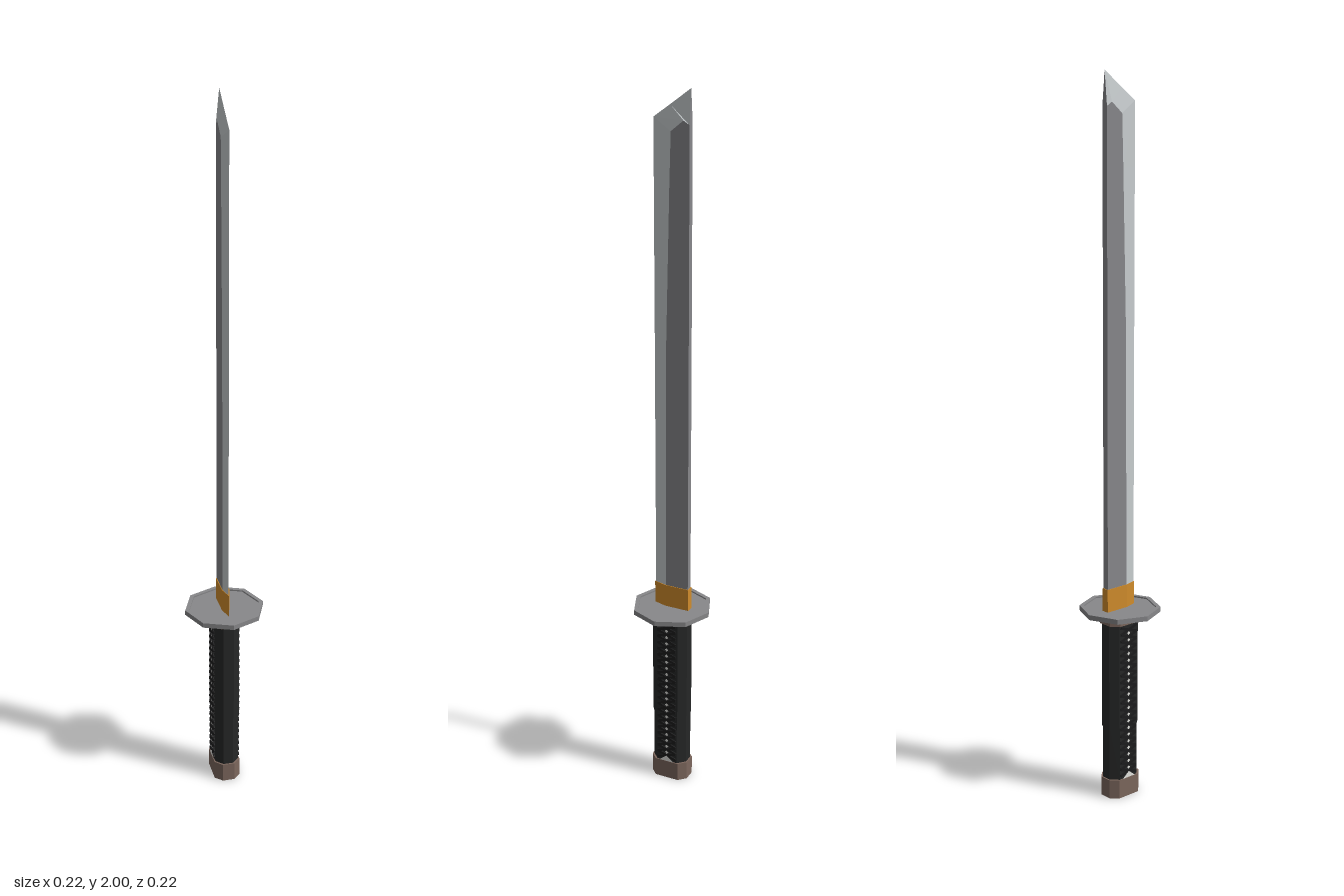
import * as THREE from 'three';

const mat = (name, color) => Object.assign(new THREE.MeshStandardMaterial({ color }), { name });

// Upright prism from [x, z] corners
function prism(corners, y0, y1) {
  const shape = new THREE.Shape(corners.map(([x, z]) => new THREE.Vector2(x, -z)));
  const g = new THREE.ExtrudeGeometry(shape, { depth: y1 - y0, bevelEnabled: false });
  return g.rotateX(-Math.PI / 2).translate(0, y0, 0);
}

// Elongated octagon with half sizes a (x), b (z) and corner cut c
const octagon = (a, b, c) => [
  [a, b - c], [a - c, b], [c - a, b], [-a, b - c],
  [-a, c - b], [c - a, -b], [a - c, -b], [a, c - b],
];

// Flat-shaded faces, each a convex loop of [x, y, z], split as a fan
function faces(loops) {
  const p = [];
  for (const l of loops)
    for (let i = 1; i < l.length - 1; i++) p.push(...l[0], ...l[i], ...l[i + 1]);
  const g = new THREE.BufferGeometry();
  g.setAttribute('position', new THREE.Float32BufferAttribute(p, 3));
  g.computeVertexNormals();
  return g;
}

export function createModel() {
  const root = new THREE.Group();
  root.name = 'sword';
  const steel = mat('steel', 0x88888c);
  const edgeSteel = mat('polished edge', 0xc8cdcf);
  const gold = mat('gold collar', 0xd08c2c);
  const guardGrey = mat('guard grey', 0x88888a);
  const bronze = mat('brown fittings', 0x7c675d);
  const black = mat('black grip', 0x262727);
  const cord = mat('black cord', 0x1c1c1d);
  const pale = mat('pale inlay', 0xe4e4e0);

  const add = (name, geo, material, parent = root) => {
    const m = new THREE.Mesh(geo, material);
    m.name = name;
    parent.add(m);
    return m;
  };

  // Blade: [z, y] lines for the bevel ridge and the cutting edge
  const w = 0.0088, back = -0.052, base = 0.55;
  const ridge = [[0.016, base], [0.014, 1.3], [0.004, 1.75], [0, 1.89], [-0.035, 1.92], [back, 1.91]];
  const edge = [[0.05, base], [0.051, 1.3], [0.052, 1.75], [0.052, 1.92], [0.006, 1.955], [back, 2]];
  const flats = [], bevels = [];
  for (const s of [-1, 1]) {
    const turn = (loop) => (s > 0 ? loop.reverse() : loop);
    const at = (x, [z, y]) => [x * s, y, z];
    const b = at(w, [back, base]);
    for (let i = 0; i < ridge.length - 1; i++) {
      flats.push(turn([b, at(w, ridge[i]), at(w, ridge[i + 1])]));
      bevels.push(turn([at(w, ridge[i]), at(0, edge[i]), at(0, edge[i + 1]), at(w, ridge[i + 1])]));
    }
  }
  // Spine and its pointed end
  flats.push([[w, base, back], [-w, base, back], [-w, 1.91, back], [0, 2, back], [w, 1.91, back]]);
  add('bladeBody', faces(flats), steel);
  add('bladeEdge', faces(bevels), edgeSteel);

  // Collar at the foot of the blade
  add('bladeCollar', prism(
    [[-0.0105, -0.054], [-0.0105, 0.017], [0, 0.053], [0.0105, 0.017], [0.0105, -0.054]], 0.545, 0.615), gold);

  // Eight-sided guard with a raised rim on both faces
  const profile = [[0, 0.544], [0.1, 0.544], [0.1, 0.54], [0.112, 0.54], [0.112, 0.554], [0.1, 0.554], [0.1, 0.55], [0, 0.55]];
  const guard = new THREE.LatheGeometry(profile.map(([r, y]) => new THREE.Vector2(r, y)), 8).toNonIndexed();
  guard.computeVertexNormals();
  add('guard', guard, guardGrey);

  // Grip and its end fittings
  add('pommel', prism(octagon(0.037, 0.055, 0.02), 0, 0.055), bronze);
  add('gripLower', prism(octagon(0.034, 0.051, 0.02), 0.05, 0.21), black);
  add('gripUpper', prism(octagon(0.035, 0.053, 0.02), 0.21, 0.515), black);
  add('gripFerrule', prism(octagon(0.041, 0.055, 0.02), 0.512, 0.545), bronze);

  // Crossed cords with small inlays between them on both broad sides
  const rows = 22, pitch = 0.02;
  const cordGeo = new THREE.BoxGeometry(0.006, 0.007, 0.06);
  const inlayGeo = new THREE.CircleGeometry(0.0055, 4).rotateY(Math.PI / 2);
  for (const s of [-1, 1]) {
    const wrap = new THREE.Group();
    wrap.name = s > 0 ? 'leftWrap' : 'rightWrap';
    if (s < 0) wrap.rotation.y = Math.PI;
    root.add(wrap);
    for (let i = 0; i < rows; i++) {
      const y = 0.075 + i * pitch;
      for (const t of [-1, 1]) {
        const c = add('cord', cordGeo, cord, wrap);
        c.position.set(0.0345, y, 0);
        c.rotation.x = t * 0.33;
      }
      if (i < rows - 1) add('inlay', inlayGeo, pale, wrap).position.set(0.0365, y + pitch / 2, 0);
    }
    // Larger inlay at the foot of the wrap
    const foot = faces([[[0.0376, 0.056, 0.022], [0.0376, 0.056, -0.022], [0.0376, 0.074, 0]]]);
    add('footInlay', foot, pale, wrap);
  }
  return root;
}
